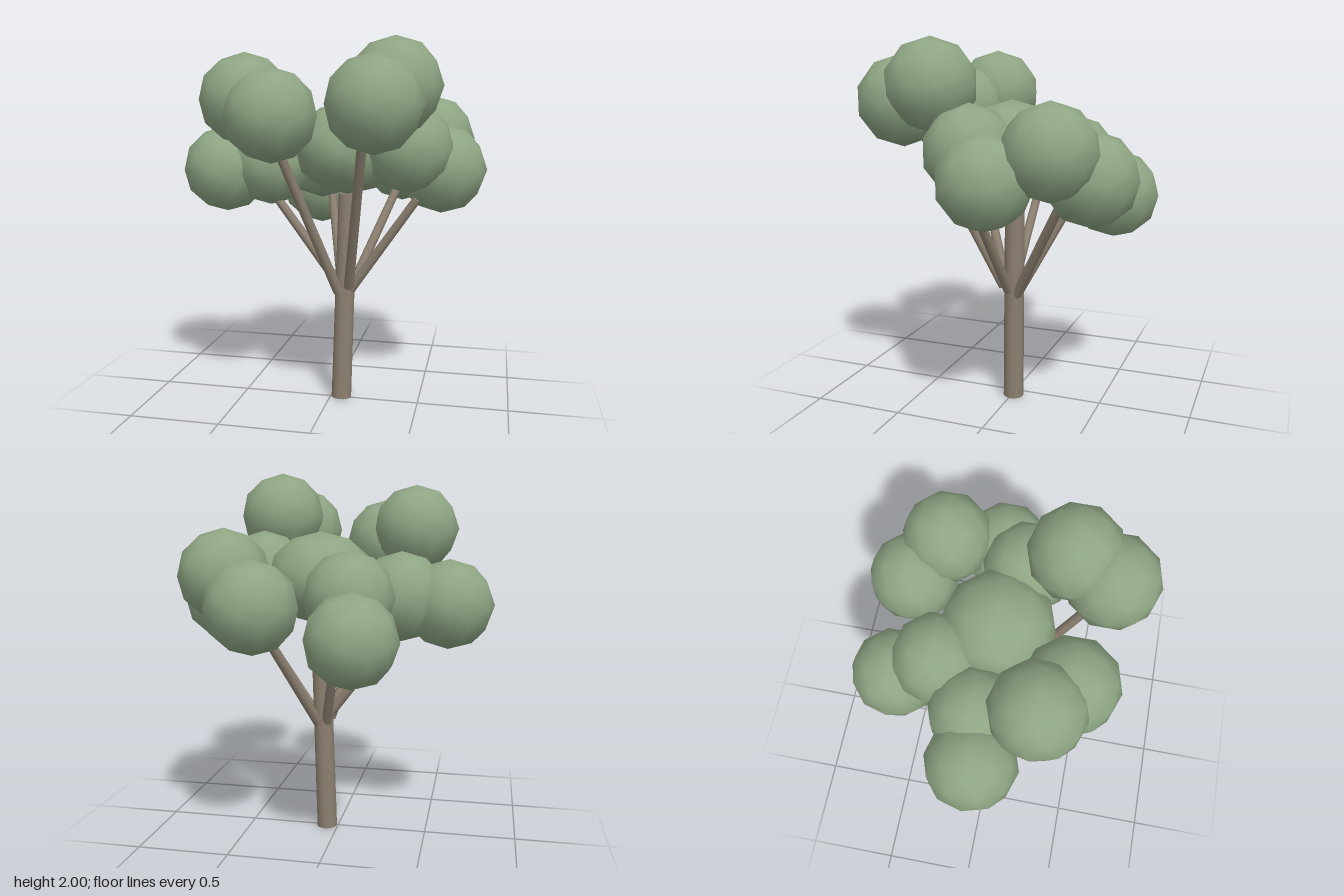
import * as THREE from 'three';

export function createModel() {
  const model = new THREE.Group();
  model.name = 'tree';
  const bark = new THREE.MeshStandardMaterial({ color: 0x8c8070 });
  bark.name = 'bark brown';
  const leaf = new THREE.MeshStandardMaterial({ color: 0x8fa684 });
  leaf.name = 'leaf green';

  // Tapered round limb between two points
  function limb(name, from, to, r0, r1, sides) {
    const a = new THREE.Vector3(...from), b = new THREE.Vector3(...to);
    const dir = b.clone().sub(a);
    const mesh = new THREE.Mesh(new THREE.CylinderGeometry(r1, r0, dir.length(), sides), bark);
    mesh.name = name;
    mesh.position.copy(a).add(b).multiplyScalar(0.5);
    mesh.quaternion.setFromUnitVectors(new THREE.Vector3(0, 1, 0), dir.normalize());
    model.add(mesh);
  }

  // Leaning trunk
  limb('trunk', [0.062, 0, -0.01], [0.093, 1.175, -0.03], 0.057, 0.053, 16);

  // Six branches fanning out from the fork
  const branches = [
    ['frontRightBranch', [0.05, 0.63, 0.03], [-0.22, 1.5, 0.36]],
    ['frontLeftBranch', [0.11, 0.66, 0.03], [0.25, 1.5, 0.43]],
    ['rightBranch', [0.05, 0.66, -0.01], [-0.33, 1.16, -0.03]],
    ['leftBranch', [0.115, 0.64, 0], [0.48, 1.165, 0.04]],
    ['backLeftBranch', [0.1, 0.61, -0.04], [0.32, 1.165, -0.35]],
    ['backRightBranch', [0.06, 0.62, -0.04], [-0.06, 1.15, -0.32]],
  ];
  for (const [name, from, to] of branches) limb(name, from, to, 0.028, 0.024, 10);

  // Leaf clumps: a pair on each branch
  const clumpShape = new THREE.IcosahedronGeometry(0.24, 1);
  const clumps = {
    frontRight: [[-0.395, 1.69, 0.26], [-0.223, 1.613, 0.392]],
    frontLeft: [[0.317, 1.675, 0.508], [0.388, 1.76, 0.308]],
    right: [[-0.603, 1.3, -0.018], [-0.355, 1.34, -0.05]],
    left: [[0.6, 1.32, -0.065], [0.435, 1.44, 0.08]],
    backLeft: [[0.52, 1.465, -0.365], [0.335, 1.32, -0.515]],
    backRight: [[-0.165, 1.168, -0.515], [-0.113, 1.355, -0.29]],
  };
  for (const [side, places] of Object.entries(clumps)) {
    for (const p of places) {
      const clump = new THREE.Mesh(clumpShape, leaf);
      clump.name = side + 'LeafClump';
      clump.position.set(...p);
      model.add(clump);
    }
  }

  // Wider, flattened clump on top of the trunk
  const crown = new THREE.Mesh(new THREE.IcosahedronGeometry(0.295, 1), leaf);
  crown.name = 'centreLeafClump';
  crown.position.set(0.093, 1.427, -0.012);
  crown.scale.y = 0.855;
  model.add(crown);

  return model;
}
